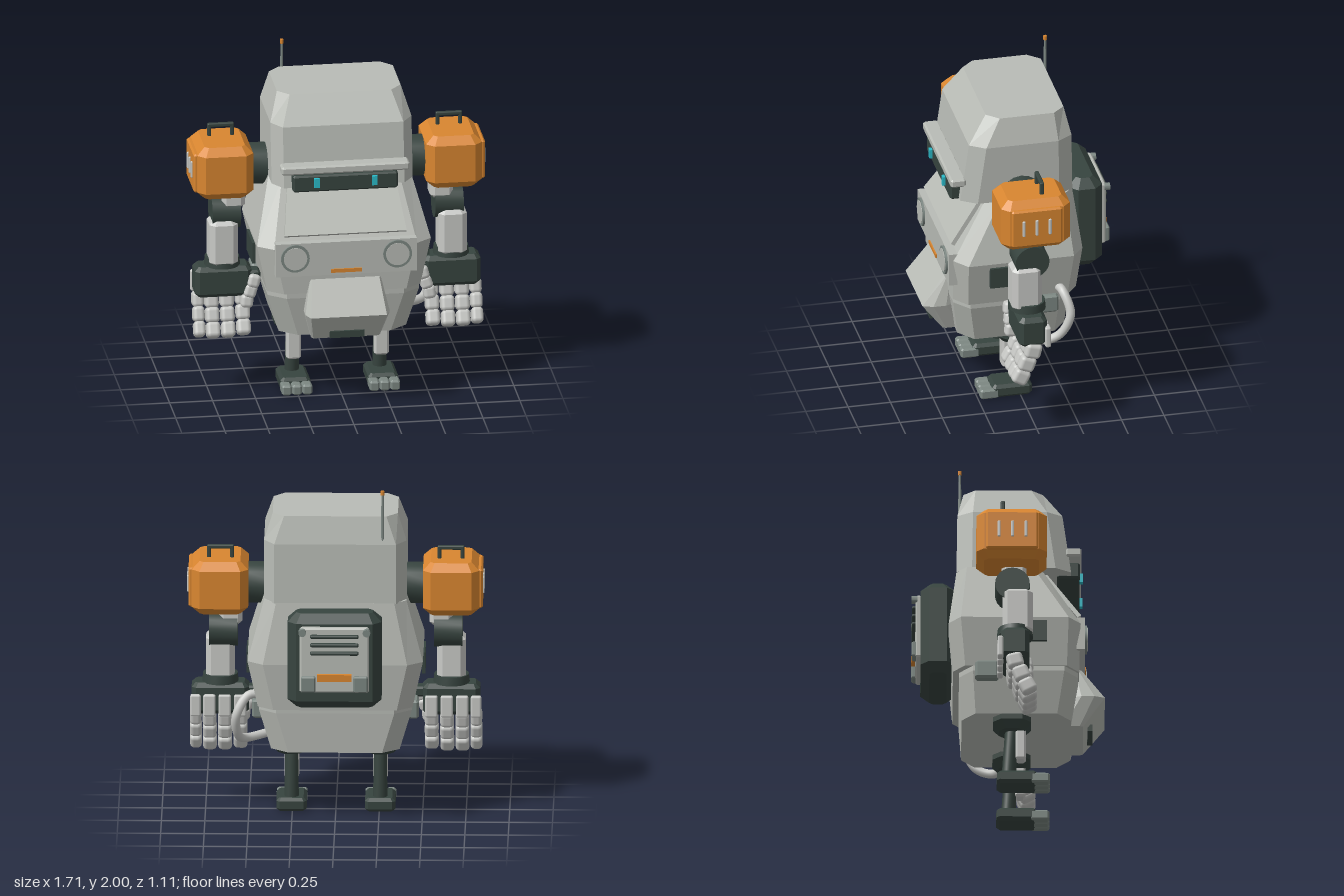
import * as THREE from 'three';
import { RoundedBoxGeometry } from 'three/addons/geometries/RoundedBoxGeometry.js';
import { toCreasedNormals } from 'three/addons/utils/BufferGeometryUtils.js';

const mat = (name, color) => {
  const m = new THREE.MeshStandardMaterial({ color });
  m.name = name;
  return m;
};

// Faceted loft through octagonal sections [y, halfWidth, zBack, zFront, cornerX, cornerZ]
function loft(sections) {
  const rings = sections.map(([y, w, b, f, cx, cz]) => [
    [w, y, f - cz], [w, y, b + cz], [w - cx, y, b], [cx - w, y, b],
    [-w, y, b + cz], [-w, y, f - cz], [cx - w, y, f], [w - cx, y, f],
  ]);
  const out = [];
  const tri = (...pts) => pts.forEach((p) => out.push(...p));
  for (let r = 0; r + 1 < rings.length; r++) {
    const lo = rings[r], hi = rings[r + 1];
    for (let i = 0; i < 8; i++) {
      const j = (i + 1) % 8;
      tri(lo[i], lo[j], hi[j]);
      tri(lo[i], hi[j], hi[i]);
    }
  }
  const bottom = rings[0], top = rings[rings.length - 1];
  for (let i = 1; i < 7; i++) {
    tri(bottom[0], bottom[i + 1], bottom[i]);
    tri(top[0], top[i], top[i + 1]);
  }
  const g = new THREE.BufferGeometry();
  g.setAttribute('position', new THREE.Float32BufferAttribute(out, 3));
  g.computeVertexNormals();
  return g;
}

// Box with all edges chamfered
function chamferBox(w, h, d, c) {
  const s = (y, inset, k) => [y, w / 2 - inset, inset - d / 2, d / 2 - inset, k, k];
  return loft([s(-h / 2, c, c * 0.5), s(c - h / 2, 0, c), s(h / 2 - c, 0, c), s(h / 2, c, c * 0.5)]);
}
const box = (w, h, d) => new THREE.BoxGeometry(w, h, d);
const rbox = (w, h, d, r) => new RoundedBoxGeometry(w, h, d, 2, r);
const cyl = (r0, r1, h, n = 24) => toCreasedNormals(new THREE.CylinderGeometry(r0, r1, h, n), 0.6);

export function createModel() {
  const root = new THREE.Group();
  root.name = 'robot';
  const body = mat('body grey', 0xb9bcb6);
  const light = mat('light grey', 0xc8c9c6);
  const dark = mat('dark green grey', 0x37443f);
  const steel = mat('steel grey', 0x7c8782);
  const orange = mat('orange', 0xd98630);
  const cyan = mat('cyan', 0x2bbcca);

  let parent = root;
  const add = (name, geo, m, x, y, z, rx = 0, ry = 0, rz = 0) => {
    const mesh = new THREE.Mesh(geo, m);
    mesh.name = name;
    mesh.position.set(x, y, z);
    mesh.rotation.set(rx, ry, rz);
    parent.add(mesh);
    return mesh;
  };
  const group = (name) => {
    parent = new THREE.Group();
    parent.name = name;
    root.add(parent);
  };

  // Body shells
  group('torsoGroup');
  add('skirt', loft([
    [0.42, 0.37, -0.27, 0.36, 0.1, 0.08],
    [0.66, 0.44, -0.285, 0.4, 0.1, 0.08],
    [0.74, 0.44, -0.285, 0.4, 0.1, 0.08],
  ]), body, 0, 0, 0);
  add('torso', loft([
    [0.69, 0.445, -0.32, 0.405, 0.09, 0.07],
    [0.97, 0.505, -0.345, 0.415, 0.09, 0.07],
    [1.33, 0.41, -0.3, 0.2, 0.07, 0.06],
  ]), body, 0, 0, 0);
  add('chin', loft([
    [0.42, 0.2, 0.3, 0.43, 0.01, 0.02],
    [0.59, 0.245, 0.36, 0.555, 0.025, 0.06],
    [0.775, 0.205, 0.36, 0.42, 0.01, 0.02],
  ]), body, 0, 0, 0);
  add('chinSlot', box(0.2, 0.04, 0.03), dark, 0, 0.457, 0.47);

  // Sloped chest panel
  const panel = new THREE.Shape([[-0.355, -0.175], [0.355, -0.175], [0.31, 0.175], [-0.31, 0.175]]
    .map((p) => new THREE.Vector2(...p)));
  add('chestPanel', new THREE.ExtrudeGeometry(panel, { depth: 0.025, bevelEnabled: false }),
    body, 0, 1.18, 0.296, -0.615);

  // Lamp panel
  add('lampPanel', box(0.82, 0.2, 0.05), body, 0, 0.91, 0.415);
  add('grille', box(0.18, 0.022, 0.01), orange, 0, 0.835, 0.443);
  for (const s of [-1, 1]) {
    add('lampRing', cyl(0.083, 0.083, 0.025, 32), steel, s * 0.297, 0.922, 0.44, Math.PI / 2);
    add('lampLens', cyl(0.068, 0.068, 0.03, 32), body, s * 0.297, 0.922, 0.441, Math.PI / 2);
    add('sideVent', box(0.02, 0.125, 0.23), dark, s * 0.505, 0.882, 0.105);
    add('sideBox', chamferBox(0.1, 0.11, 0.135, 0.012), steel, s * 0.43, 0.655, -0.125);
  }

  // Head
  group('headGroup');
  add('head', loft([
    [1.325, 0.41, -0.3, 0.36, 0.06, 0.09],
    [1.68, 0.41, -0.295, 0.31, 0.06, 0.09],
    [1.84, 0.36, -0.26, 0.2, 0.065, 0.07],
  ]), body, 0, 0, 0);
  add('visor', chamferBox(0.61, 0.1, 0.13, 0.01), dark, 0, 1.362, 0.345);
  add('brow', chamferBox(0.745, 0.05, 0.09, 0.01), body, 0, 1.447, 0.375);
  for (const s of [-1, 1]) add('eye', box(0.032, 0.055, 0.03), cyan, s * 0.168, 1.37, 0.413);
  add('antenna', cyl(0.007, 0.012, 0.38, 10), steel, -0.273, 1.79, -0.28);
  add('antennaTip', cyl(0.011, 0.011, 0.025, 10), orange, -0.273, 1.987, -0.28);

  // Backpack
  group('backpackGroup');
  add('backpack', chamferBox(0.54, 0.565, 0.2, 0.05), dark, 0, 1.032, -0.405);
  add('backPlate', chamferBox(0.4, 0.39, 0.04, 0.01), body, 0, 1.055, -0.515);
  for (let i = 0; i < 3; i++) add('backVent', rbox(0.28, 0.022, 0.03, 0.01), dark, 0, 1.2 - i * 0.05, -0.54);
  add('latchBar', box(0.2, 0.04, 0.035), orange, 0, 0.955, -0.54);
  for (const s of [-1, 1]) {
    add('latchBlock', chamferBox(0.085, 0.095, 0.04, 0.008), steel, s * 0.15, 0.915, -0.537);
    add('plateBolt', cyl(0.022, 0.022, 0.035, 16), steel, s * 0.185, 1.225, -0.54, Math.PI / 2);
  }

  // Side hose
  parent = root;
  const hose = new THREE.CatmullRomCurve3([
    [0.42, 0.75, -0.19], [0.5, 0.745, -0.21], [0.57, 0.63, -0.24],
    [0.56, 0.5, -0.18], [0.52, 0.45, -0.08], [0.37, 0.455, 0.03],
  ].map((p) => new THREE.Vector3(...p)));
  add('hose', new THREE.TubeGeometry(hose, 40, 0.026, 12), light, 0, 0, 0);

  for (const s of [-1, 1]) {
    const side = s > 0 ? 'left' : 'right';

    // Shoulder pod with handle and slotted cover
    group(side + 'Shoulder');
    add('shoulderJoint', cyl(0.12, 0.12, 0.14, 16), dark, s * 0.45, 1.36, 0.015, 0, 0, Math.PI / 2);
    add('shoulderPod', chamferBox(0.325, 0.315, 0.405, 0.045), orange, s * 0.665, 1.367, 0.015);
    add('podCover', chamferBox(0.05, 0.235, 0.3, 0.01), orange, s * 0.822, 1.367, 0.018);
    for (const z of [-0.057, 0.02, 0.097]) add('podSlot', rbox(0.02, 0.1, 0.018, 0.006), light, s * 0.846, 1.37, z);
    add('handleBar', rbox(0.155, 0.025, 0.025, 0.008), dark, s * 0.663, 1.587, -0.035);
    for (const k of [-1, 1]) add('handlePost', rbox(0.022, 0.09, 0.025, 0.008), dark, s * 0.663 + k * 0.066, 1.553, -0.035);

    // Arm
    group(side + 'Arm');
    add('upperArm', chamferBox(0.135, 0.2, 0.145, 0.025), light, s * 0.605, 1.21, 0.03);
    add('elbow', cyl(0.1, 0.1, 0.165, 24), dark, s * 0.647, 1.078, 0.02, 0, 0, Math.PI / 2);
    add('forearm', chamferBox(0.165, 0.29, 0.175, 0.03), light, s * 0.665, 0.91, 0.05);
    add('wrist', cyl(0.1, 0.105, 0.05, 24), dark, s * 0.665, 0.785, 0.035);

    // Hand
    group(side + 'Hand');
    add('glove', chamferBox(0.33, 0.185, 0.165, 0.025), dark, s * 0.665, 0.67, 0.035);
    [0.55, 0.639, 0.727, 0.807].forEach((x, i) => {
      const w = i === 3 ? 0.068 : 0.08;
      const lift = i === 0 || i === 3 ? 0.01 : 0;
      for (let j = 0; j < 3; j++) {
        add('fingerSegment', rbox(w, 0.092, 0.095, 0.024), light,
          s * x, 0.54 - j * 0.08 + lift, 0.035 + j * 0.036, -0.25 - j * 0.12);
      }
      add('knuckle', rbox(w * 0.9, 0.13, 0.035, 0.012), light, s * x, 0.635, -0.05);
    });
    add('thumbBase', chamferBox(0.08, 0.06, 0.09, 0.012), dark, s * 0.49, 0.7, 0.06);
    [[0.49, 0.67, 0.25], [0.51, 0.61, 0.3], [0.53, 0.55, 0.1]].forEach(([x, y, a]) =>
      add('thumbSegment', rbox(0.072, 0.08, 0.08, 0.024), light, s * x, y, 0.1, -0.15, 0, s * a));

    // Leg and foot
    group(side + 'Leg');
    add('hip', loft([
      [0.345, 0.075, -0.075, 0.075, 0.04, 0.04],
      [0.39, 0.11, -0.11, 0.11, 0.05, 0.05],
      [0.44, 0.11, -0.11, 0.11, 0.05, 0.05],
    ]), dark, s * 0.257, 0, 0.02);
    add('shin', cyl(0.036, 0.042, 0.34, 16), dark, s * 0.255, 0.23, 0.01, 0.05);
    add('shinGuard', chamferBox(0.085, 0.25, 0.06, 0.012), light, s * 0.255, 0.295, 0.07);
    add('foot', chamferBox(0.175, 0.08, 0.235, 0.018), dark, s * 0.255, 0.04, 0.05);
    for (const k of [-1, 0, 1]) {
      add('toe', chamferBox(0.057, 0.06, 0.11, 0.01), steel, s * 0.255 + k * 0.06, 0.031, 0.183);
    }
  }
  return root;
}
